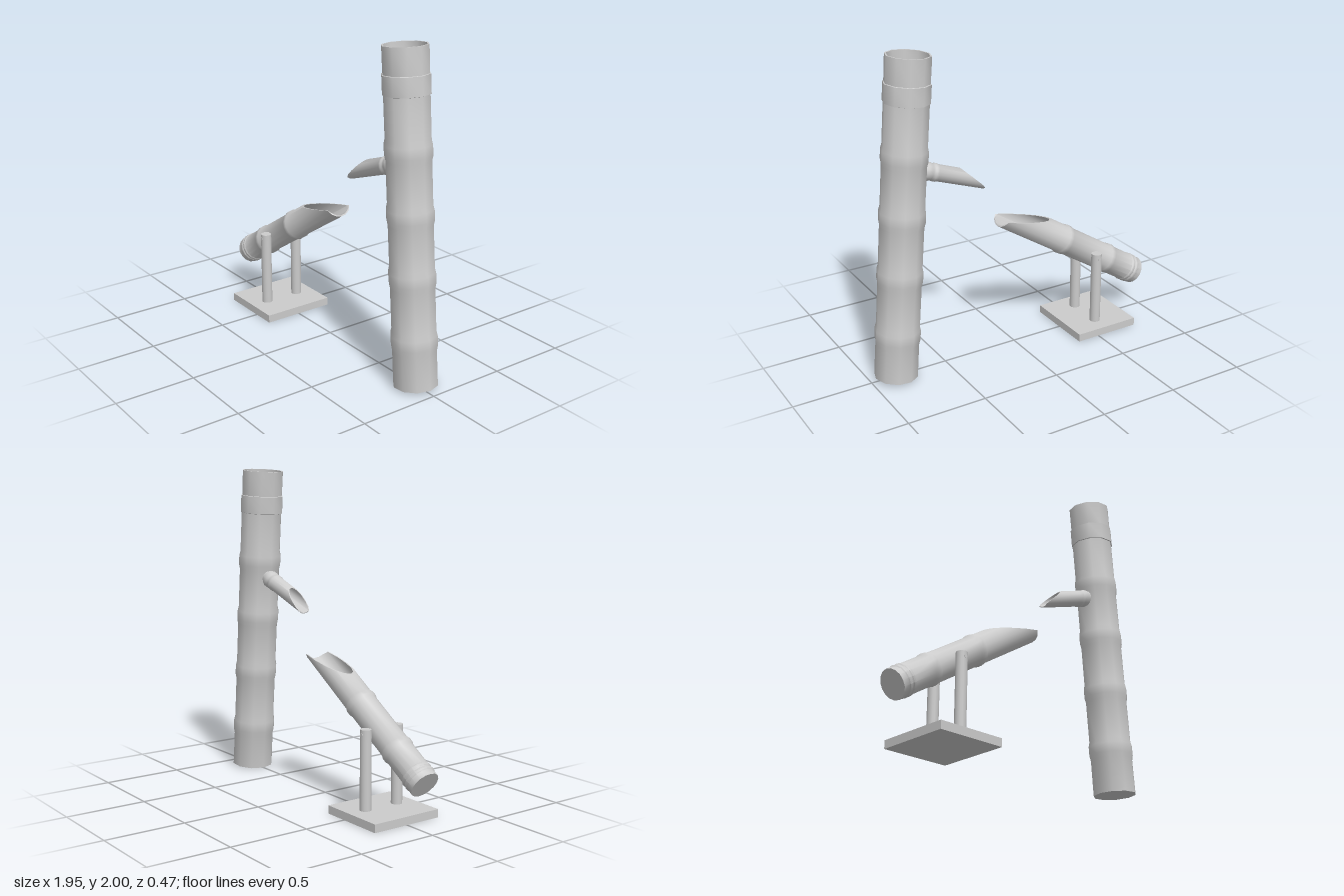
import * as THREE from 'three';
import { toCreasedNormals } from 'three/addons/utils/BufferGeometryUtils.js';

const material = new THREE.MeshStandardMaterial({ color: 0xcccccc, side: THREE.DoubleSide });

function addMesh(parent, name, geometry, x = 0, y = 0, z = 0) {
  const mesh = new THREE.Mesh(geometry, material);
  mesh.name = name;
  mesh.position.set(x, y, z);
  parent.add(mesh);
  return mesh;
}

// Swollen joint of a bamboo cane: [radius, distance along the cane]
function joint(at, half, slope, r, bulge) {
  return [[r, at - half - slope], [r + bulge, at - half], [r + bulge, at + half], [r, at + half + slope]];
}

// Hollow cane along +y: closed at the bottom, open at the top down to an inner floor.
// cut = { side, from: [along, height], to: [along, height] } slices the open end slantwise.
function cane({ r, length, wall, floor, joints, sides, cut }) {
  const profile = [[0, 0], [r, 0], ...joints.flat(), [r, length],
    [r - wall, length], [r - wall, floor], [0, floor]];
  const geometry = new THREE.LatheGeometry(
    profile.map(([x, y]) => new THREE.Vector2(x, y)), sides, Math.PI / 2);
  if (cut) {
    const p = geometry.attributes.position;
    const [s0, h0] = cut.from, [s1, h1] = cut.to;
    for (let i = 0; i < p.count; i++) {
      const t = (h0 - p.getX(i) * cut.side) / (h0 - h1);
      const limit = s0 + (s1 - s0) * THREE.MathUtils.clamp(t, 0, 1);
      if (p.getY(i) > limit) p.setY(i, limit);
    }
  }
  return toCreasedNormals(geometry, 0.75);
}

export function createModel() {
  const model = new THREE.Group();
  model.name = 'bambooFountain';

  // Tall leaning cane
  const trunkJoints = [0.28, 0.66, 1.03, 1.4].map(s => joint(s, 0.03, 0.03, 0.133, 0.007));
  trunkJoints.push(joint(1.766, 0.055, 0.002, 0.133, 0.006));
  const trunk = addMesh(model, 'uprightCane', cane({
    r: 0.134, length: 1.98, wall: 0.01, floor: 1.89, joints: trunkJoints, sides: 10,
  }), 0.838, 0.011);
  trunk.rotation.z = 0.081;

  // Small spout with a slanted mouth
  const spout = addMesh(model, 'spout', cane({
    r: 0.051, length: 0.458, wall: 0.005, floor: 0.12, sides: 16,
    joints: [joint(0.055, 0.012, 0.012, 0.051, 0.005), joint(0.108, 0.008, 0.008, 0.051, 0.004)],
    cut: { side: 1, from: [0.27, 0.051], to: [0.458, -0.031] },
  }), 0.642, 1.302);
  spout.rotation.z = THREE.MathUtils.degToRad(109.4);

  // Tipping cane with a scooped end
  const tipper = addMesh(model, 'tippingCane', cane({
    r: 0.09, length: 1.185, wall: 0.008, floor: 0.68, sides: 16,
    joints: [
      joint(0.05, 0.007, 0.006, 0.09, 0.005), joint(0.08, 0.007, 0.006, 0.09, 0.005),
      joint(0.278, 0.015, 0.012, 0.09, 0.007), joint(0.674, 0.015, 0.012, 0.09, 0.007),
    ],
    cut: { side: -1, from: [0.827, 0.09], to: [1.185, -0.036] },
  }), -0.93, 0.27);
  tipper.rotation.z = THREE.MathUtils.degToRad(-57.6);

  // Stand: base plate, two posts and the pivot pin
  const stand = new THREE.Group();
  stand.name = 'stand';
  model.add(stand);
  addMesh(stand, 'basePlate', new THREE.BoxGeometry(0.435, 0.05, 0.47), -0.567, 0.025, 0);
  for (const side of [-1, 1]) {
    addMesh(stand, side > 0 ? 'frontPost' : 'backPost',
      new THREE.CylinderGeometry(0.034, 0.034, 0.49, 16), -0.55, 0.285, side * 0.117);
  }
  const pin = addMesh(stand, 'pivotPin', new THREE.CylinderGeometry(0.011, 0.011, 0.304, 10), -0.55, 0.5, 0);
  pin.rotation.x = Math.PI / 2;

  return model;
}
